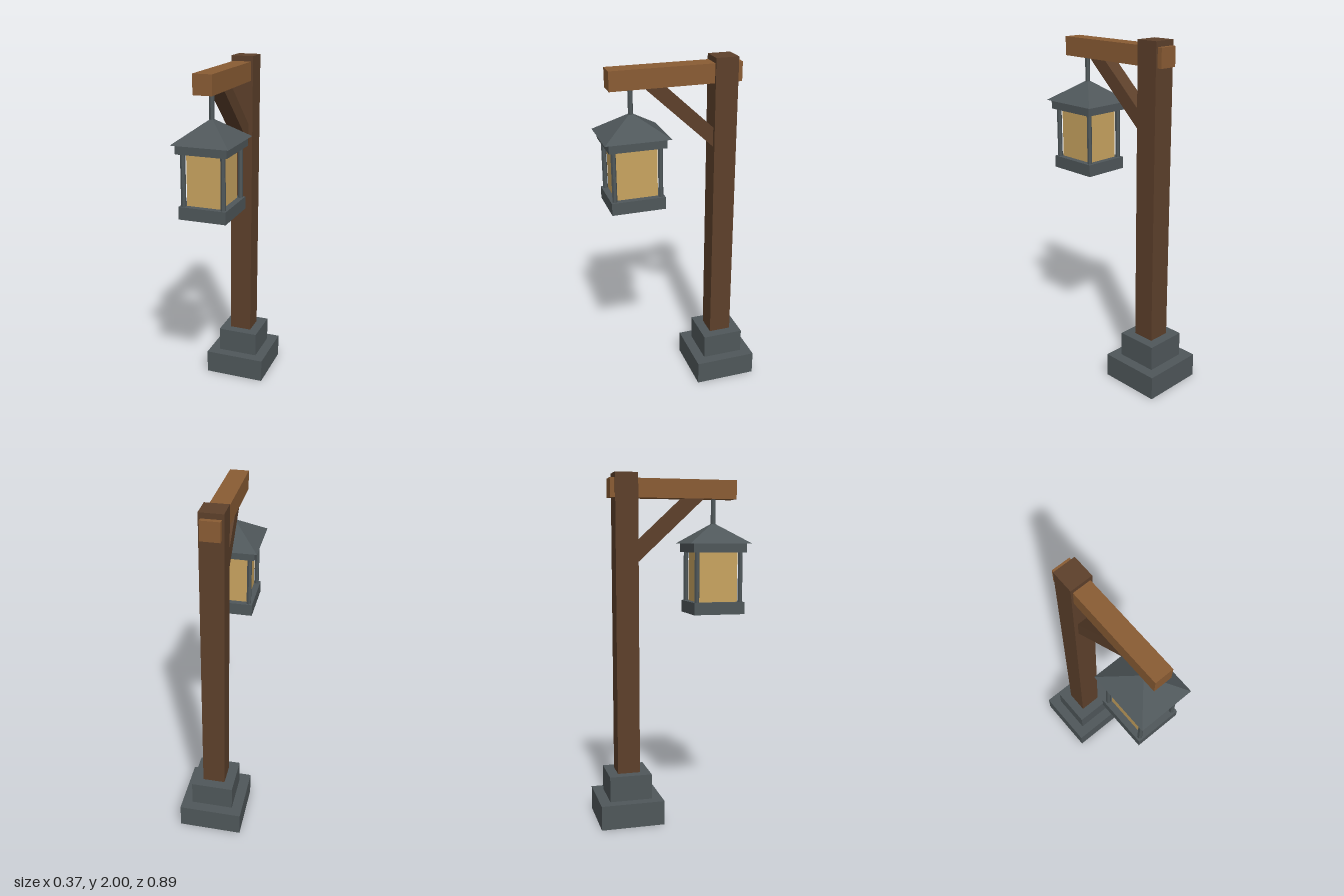
import * as THREE from 'three';

export function createModel() {
  const model = new THREE.Group();
  const mat = (name, color) => {
    const m = new THREE.MeshStandardMaterial({ color, flatShading: true });
    m.name = name;
    return m;
  };
  const slate = mat('slate grey', 0x4f575a);
  const darkWood = mat('dark wood', 0x5d402b);
  const lightWood = mat('light wood', 0x8a5c34);
  const amber = mat('amber glass', 0xc9a460);

  const add = (parent, name, geometry, material, x, y, z) => {
    const mesh = new THREE.Mesh(geometry, material);
    mesh.name = name;
    mesh.position.set(x, y, z);
    parent.add(mesh);
    return mesh;
  };
  // Box given by its full width and depth, bottom and top heights, and centre z
  const box = (parent, name, material, w, d, y0, y1, z = 0) =>
    add(parent, name, new THREE.BoxGeometry(w, y1 - y0, d), material, 0, (y0 + y1) / 2, z);

  // Stepped footing and post
  const postZ = -0.263;
  box(model, 'footingLower', slate, 0.366, 0.366, 0, 0.14, postZ);
  box(model, 'footingUpper', slate, 0.244, 0.244, 0.14, 0.286, postZ);
  box(model, 'post', darkWood, 0.13, 0.13, 0.286, 2, postZ);

  // Cross beam through the post, with a diagonal brace below
  box(model, 'beam', lightWood, 0.106, 0.74, 1.863, 1.97, 0.015);
  const brace = add(model, 'brace', new THREE.BoxGeometry(0.084, 0.081, 0.545), darkWood, 0, 1.711, -0.033);
  brace.rotation.x = -0.747;

  // Hanging lantern
  const lantern = new THREE.Group();
  lantern.name = 'lantern';
  lantern.position.z = 0.26;
  model.add(lantern);

  add(lantern, 'hangingRod', new THREE.CylinderGeometry(0.014, 0.014, 0.17, 6), slate, 0, 1.785, 0);
  const roof = new THREE.ConeGeometry(Math.SQRT2, 0.12, 4);
  roof.rotateY(Math.PI / 4);
  roof.scale(0.16, 1, 0.183);
  add(lantern, 'roof', roof, slate, 0, 1.67, 0);
  box(lantern, 'cap', slate, 0.286, 0.318, 1.56, 1.61);
  box(lantern, 'tray', slate, 0.268, 0.304, 1.205, 1.275);
  box(lantern, 'glass', amber, 0.196, 0.234, 1.275, 1.56);

  // Corner bars
  const bar = new THREE.CylinderGeometry(0.014, 0.014, 0.285, 6);
  for (const sx of [-1, 1]) {
    for (const sz of [-1, 1]) {
      add(lantern, 'cornerBar', bar, slate, sx * 0.112, 1.4175, sz * 0.13);
    }
  }
  return model;
}
